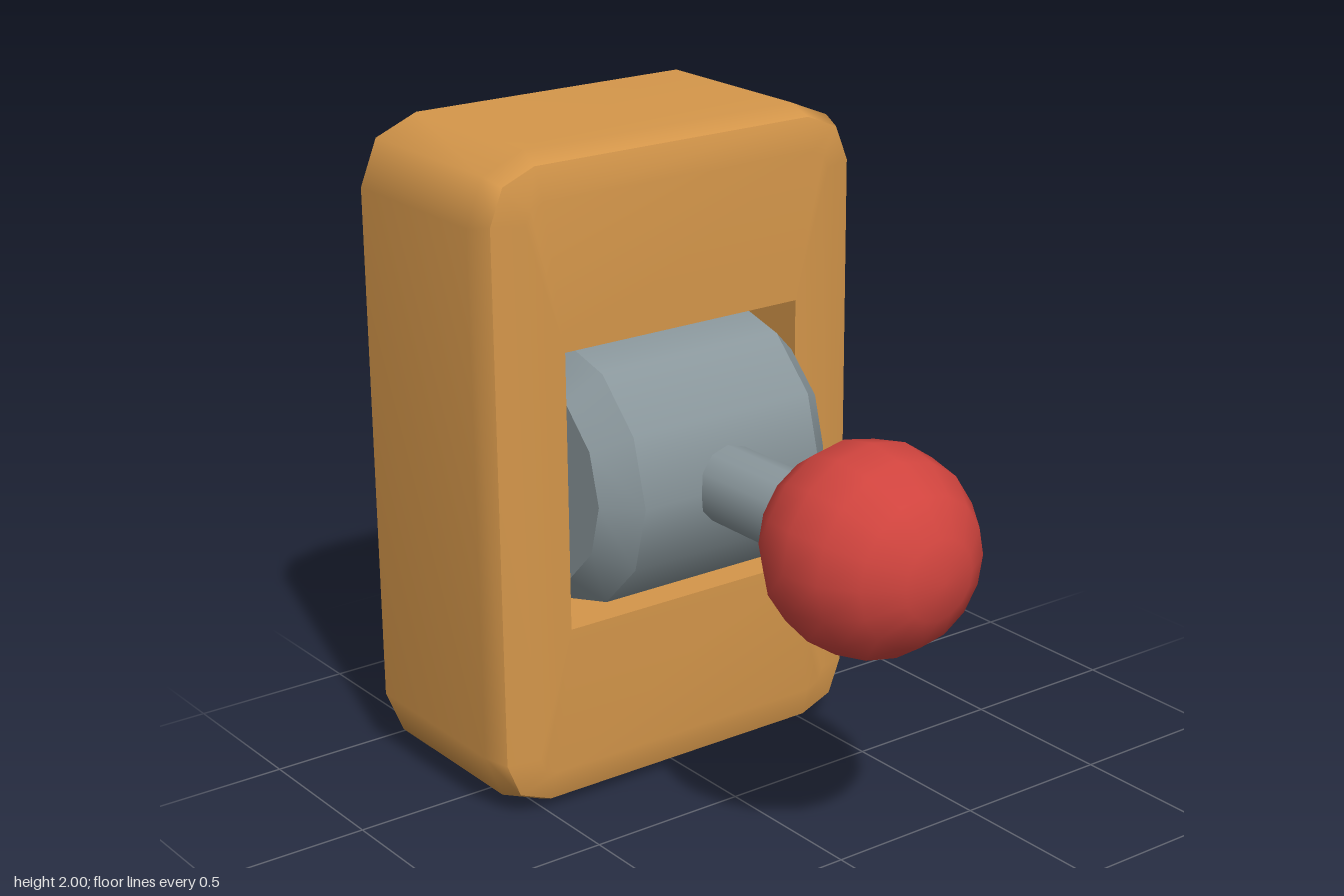
import * as THREE from 'three';

const orange = new THREE.MeshStandardMaterial({ name: 'orange housing', color: 0xd4964a });
const grey = new THREE.MeshStandardMaterial({ name: 'grey metal', color: 0x8a979c });
const red = new THREE.MeshStandardMaterial({ name: 'red knob', color: 0xd0443e });

// Twelve-point rounded rectangle, counter-clockwise seen from the front
function roundedLoop(halfW, halfH, r, z) {
  const corner = [[halfW, halfH - r], [halfW - 0.29 * r, halfH - 0.29 * r], [halfW - r, halfH]];
  const loop = [];
  for (const [sx, sy] of [[1, 1], [-1, 1], [-1, -1], [1, -1]]) {
    const pts = sx * sy > 0 ? corner : [...corner].reverse();
    for (const [x, y] of pts) loop.push([x * sx, 1 + y * sy, z]);
  }
  return loop;
}

// Skin joining successive loops; smooth or flat shaded
function loft(loops, flat = false) {
  const n = loops[0].length;
  const index = [];
  for (let k = 0; k < loops.length - 1; k++) {
    for (let i = 0; i < n; i++) {
      const a = k * n + i, b = k * n + (i + 1) % n;
      index.push(a, b, b + n, a, b + n, a + n);
    }
  }
  let geo = new THREE.BufferGeometry();
  geo.setAttribute('position', new THREE.Float32BufferAttribute(loops.flat(2), 3));
  geo.setIndex(index);
  if (flat) geo = geo.toNonIndexed();
  geo.computeVertexNormals();
  return geo;
}

function addMesh(parent, name, geometry, material) {
  const mesh = new THREE.Mesh(geometry, material);
  mesh.name = name;
  parent.add(mesh);
  return mesh;
}

export function createModel() {
  const model = new THREE.Group();
  model.name = 'leverSwitch';

  // Housing: bevelled sides, softly domed front with a recess, flat back
  const housing = new THREE.Group();
  housing.name = 'housing';
  model.add(housing);
  const back = roundedLoop(0.665, 1, 0.195, -0.91);
  const shoulder = roundedLoop(0.665, 1, 0.195, -0.345);
  const rim = roundedLoop(0.632, 0.967, 0.15, -0.275);
  const face = roundedLoop(0.535, 0.87, 0.06, -0.245);
  const opening = roundedLoop(0.415, 0.425, 0, -0.245);
  const floor = roundedLoop(0.415, 0.425, 0, -0.65);
  addMesh(housing, 'housingSides', loft([back, shoulder, rim]), orange);
  addMesh(housing, 'frontFace', loft([rim, face, opening]), orange);
  addMesh(housing, 'recess', loft([opening, floor, roundedLoop(0, 0, 0, -0.65)], true), orange);
  addMesh(housing, 'backFace', loft([roundedLoop(0, 0, 0, -0.91), back], true), orange);

  // Pivot barrel lying across the recess, with chamfered ends
  const barrel = new THREE.Group();
  barrel.name = 'pivotBarrel';
  barrel.position.set(0, 1, -0.41);
  model.add(barrel);
  const drum = new THREE.CylinderGeometry(0.405, 0.405, 0.63, 12, 1, true);
  addMesh(barrel, 'barrelDrum', drum.rotateZ(-Math.PI / 2), grey);
  for (const side of [1, -1]) {
    const end = new THREE.CylinderGeometry(0.31, 0.405, 0.095, 12);
    end.rotateZ(-side * Math.PI / 2).translate(side * 0.3625, 0, 0);
    addMesh(barrel, side > 0 ? 'leftBarrelEnd' : 'rightBarrelEnd', end, grey);
  }

  // Lever rod and ball knob pointing forward
  const rod = new THREE.CylinderGeometry(0.117, 0.117, 0.5, 12);
  addMesh(model, 'leverRod', rod.rotateX(Math.PI / 2), grey).position.set(0, 1, 0.12);
  const ball = new THREE.SphereGeometry(0.307, 16, 8);
  addMesh(model, 'ballKnob', ball.rotateX(Math.PI / 2), red).position.set(0, 1, 0.603);

  return model;
}
